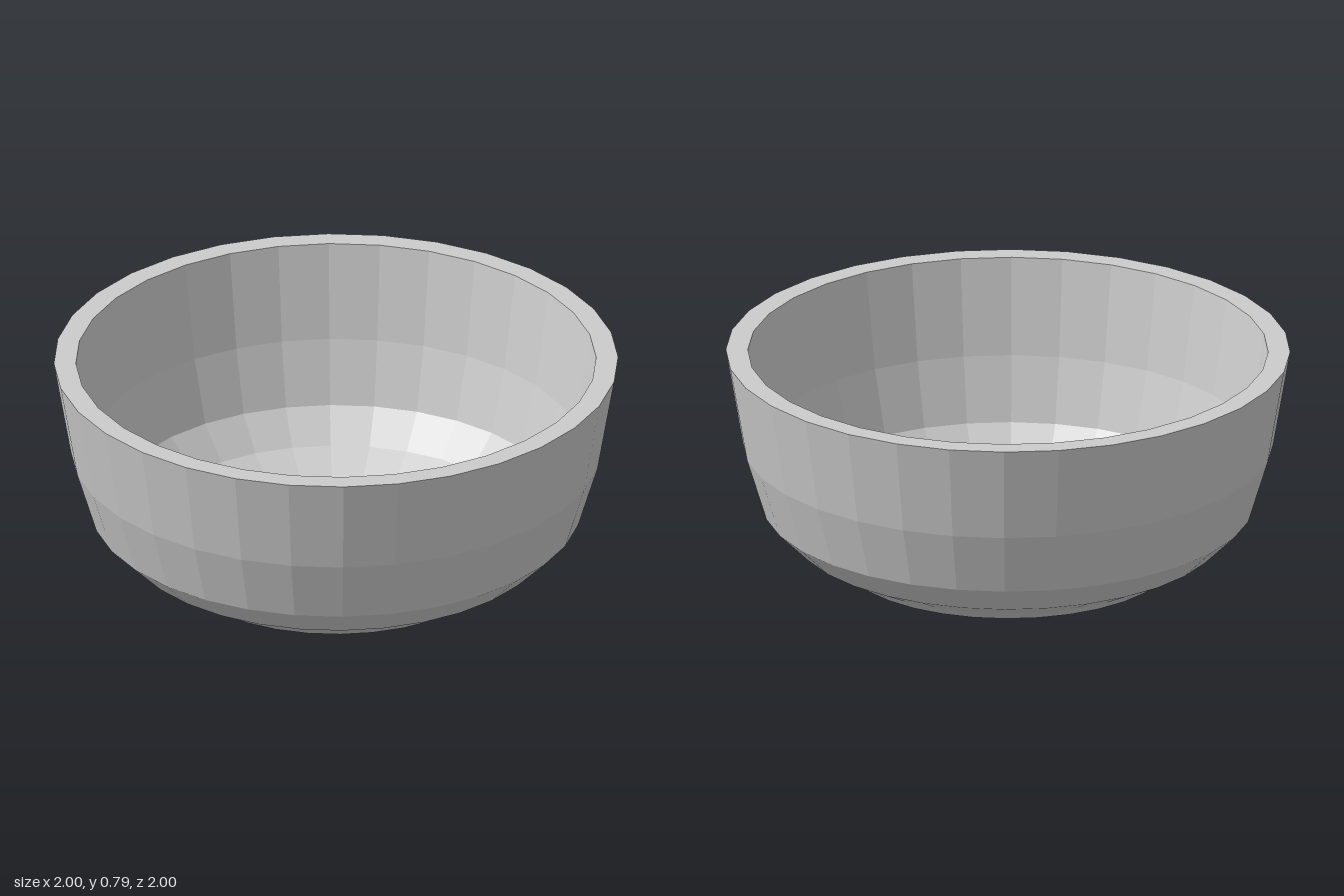
import * as THREE from 'three';

const SIDES = 32;
const WALL = 0.922; // inner radius as a share of the outer radius

// Outer wall profile from foot to rim: [radius, height]
const PROFILE = [[0.59, 0], [0.64, 0.04], [0.76, 0.1], [0.87, 0.21], [0.94, 0.44], [1, 0.79]];

export function createModel() {
  const group = new THREE.Group();
  group.name = 'bowl';
  const material = new THREE.MeshStandardMaterial({ color: 0xcccccc, flatShading: true });

  const addLathe = (name, points) => {
    const profile = points.map(([r, y]) => new THREE.Vector2(r, y));
    const mesh = new THREE.Mesh(new THREE.LatheGeometry(profile, SIDES), material);
    mesh.name = name;
    group.add(mesh);
  };

  // Inside follows the outside at the same heights, with a very thin floor
  const inner = PROFILE.map(([r, y]) => [r * WALL, Math.max(y, 0.005)]).reverse();

  addLathe('base', [[0, 0], PROFILE[0]]);
  addLathe('outerWall', PROFILE);
  addLathe('rim', [PROFILE[PROFILE.length - 1], inner[0]]);
  addLathe('innerWall', inner);
  addLathe('floor', [inner[inner.length - 1], [0, 0.005]]);

  return group;
}
